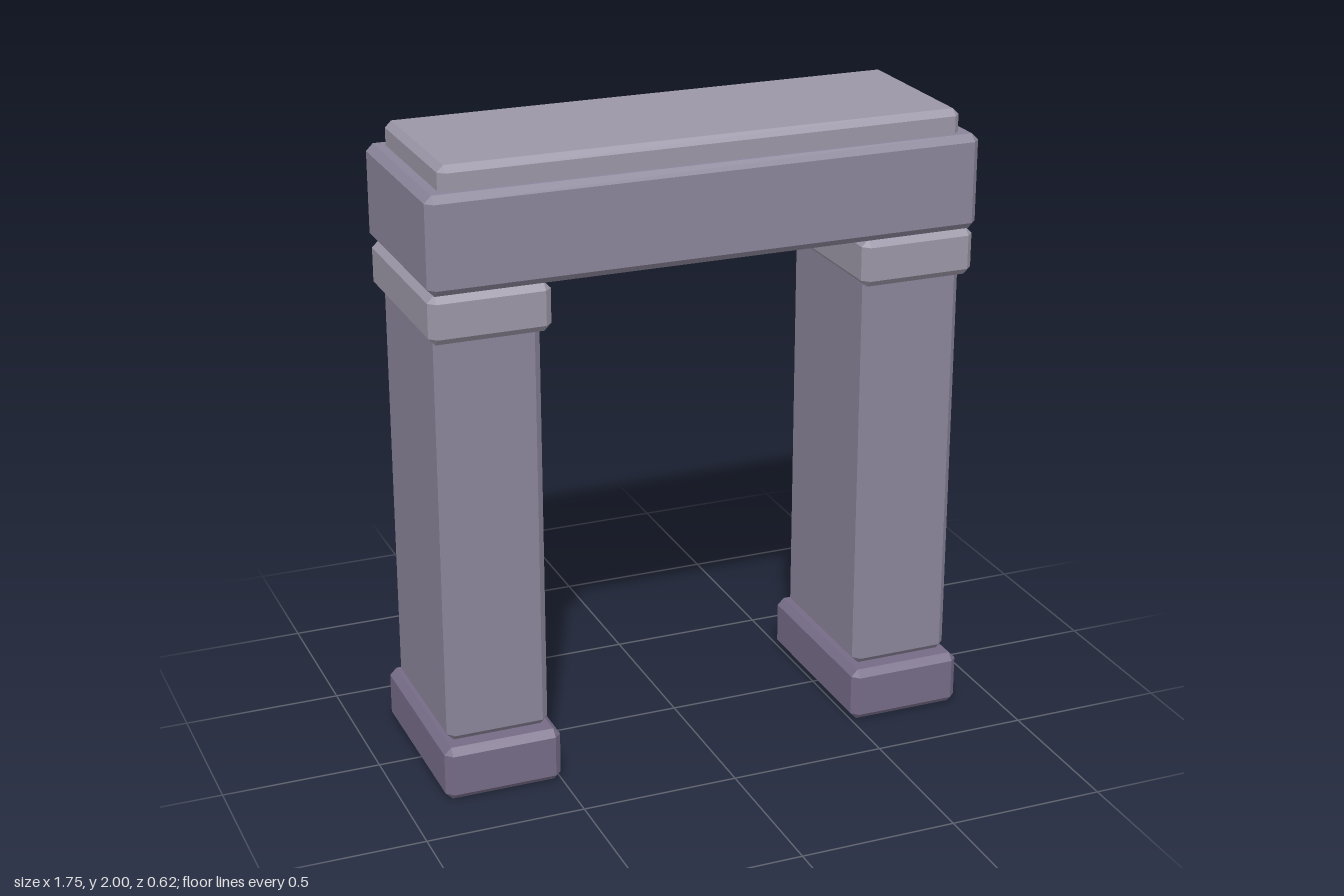
import * as THREE from 'three';
import { ConvexGeometry } from 'three/addons/geometries/ConvexGeometry.js';

const stone = new THREE.MeshStandardMaterial({ color: 0x8a8499 });
const darkStone = new THREE.MeshStandardMaterial({ color: 0x756b86 });
const paleStone = new THREE.MeshStandardMaterial({ color: 0x9b96a6 });

// Block with flat chamfers on every edge and corner, spanning y0 to y1
function block(name, material, x, width, y0, y1, depth, c = 0.022) {
  const half = [width / 2, (y1 - y0) / 2, depth / 2];
  const points = [];
  for (const sx of [-1, 1]) for (const sy of [-1, 1]) for (const sz of [-1, 1]) {
    for (let face = 0; face < 3; face++) {
      const [px, py, pz] = half.map((h, axis) => (axis === face ? h : h - c));
      points.push(new THREE.Vector3(sx * px, sy * py, sz * pz));
    }
  }
  const mesh = new THREE.Mesh(new ConvexGeometry(points), material);
  mesh.name = name;
  mesh.position.set(x, (y0 + y1) / 2, 0);
  return mesh;
}

export function createModel() {
  const model = new THREE.Group();
  model.name = 'stoneGateway';

  // Two matching pillars, each with a plinth, shaft and capital
  for (const side of [-1, 1]) {
    const pillar = new THREE.Group();
    pillar.name = side > 0 ? 'leftPillar' : 'rightPillar';
    const x = side * 0.686;
    pillar.add(
      block('plinth', darkStone, x, 0.374, 0, 0.176, 0.62),
      block('shaft', stone, x, 0.326, 0.176, 1.5, 0.524),
      block('capital', paleStone, x, 0.374, 1.476, 1.627, 0.6)
    );
    model.add(pillar);
  }

  // Lintel across the pillars, with a thin slab seated into its top
  model.add(
    block('lintel', stone, 0, 1.75, 1.627, 1.926, 0.624),
    block('topSlab', paleStone, 0, 1.648, 1.9, 2, 0.548, 0.02)
  );
  return model;
}
